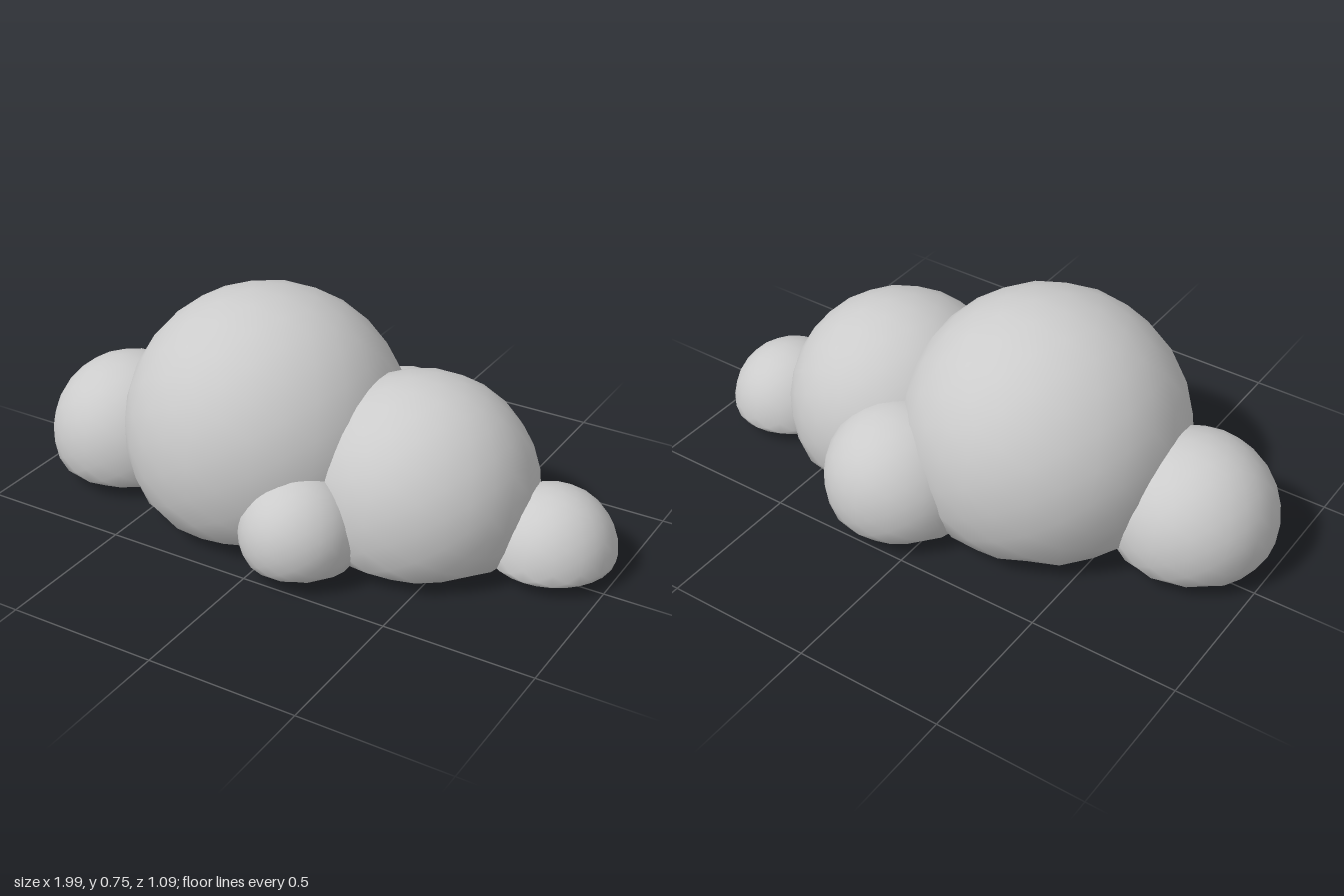
import * as THREE from 'three';
import { mergeVertices } from 'three/addons/utils/BufferGeometryUtils.js';

const FLOOR = 0.055;   // height below which a puff is squashed
const SQUASH = 0.22;   // how much of the depth below that height remains

// Ball whose underside is pressed into a shallow dome
function puffGeometry(radius, centreY) {
  let geometry = new THREE.IcosahedronGeometry(radius, 4);
  geometry.deleteAttribute('uv');
  geometry.deleteAttribute('normal');
  geometry = mergeVertices(geometry, 1e-4);
  geometry.translate(0, centreY, 0);
  const pos = geometry.attributes.position;
  for (let i = 0; i < pos.count; i++) {
    const y = pos.getY(i);
    if (y < FLOOR) pos.setY(i, FLOOR + (y - FLOOR) * SQUASH);
  }
  geometry.computeVertexNormals();
  return geometry;
}

export function createModel() {
  const cloud = new THREE.Group();
  cloud.name = 'cloud';
  const material = new THREE.MeshStandardMaterial({ color: 0xcccccc });

  // name, radius, centre x, y, z
  const puffs = [
    ['mainPuff', 0.475, -0.2, 0.285, 0.035],
    ['leftPuff', 0.38, 0.36, 0.195, 0],
    ['rightEndPuff', 0.275, -0.725, 0.145, 0.085],
    ['leftEndPuff', 0.21, 0.787, 0.065, -0.07],
    ['frontPuff', 0.195, 0.115, 0.135, 0.35],
    ['backPuff', 0.26, 0.14, 0.155, -0.29],
  ];
  for (const [name, radius, x, y, z] of puffs) {
    const puff = new THREE.Mesh(puffGeometry(radius, y), material);
    puff.name = name;
    puff.position.set(x, 0, z);
    cloud.add(puff);
  }
  return cloud;
}
